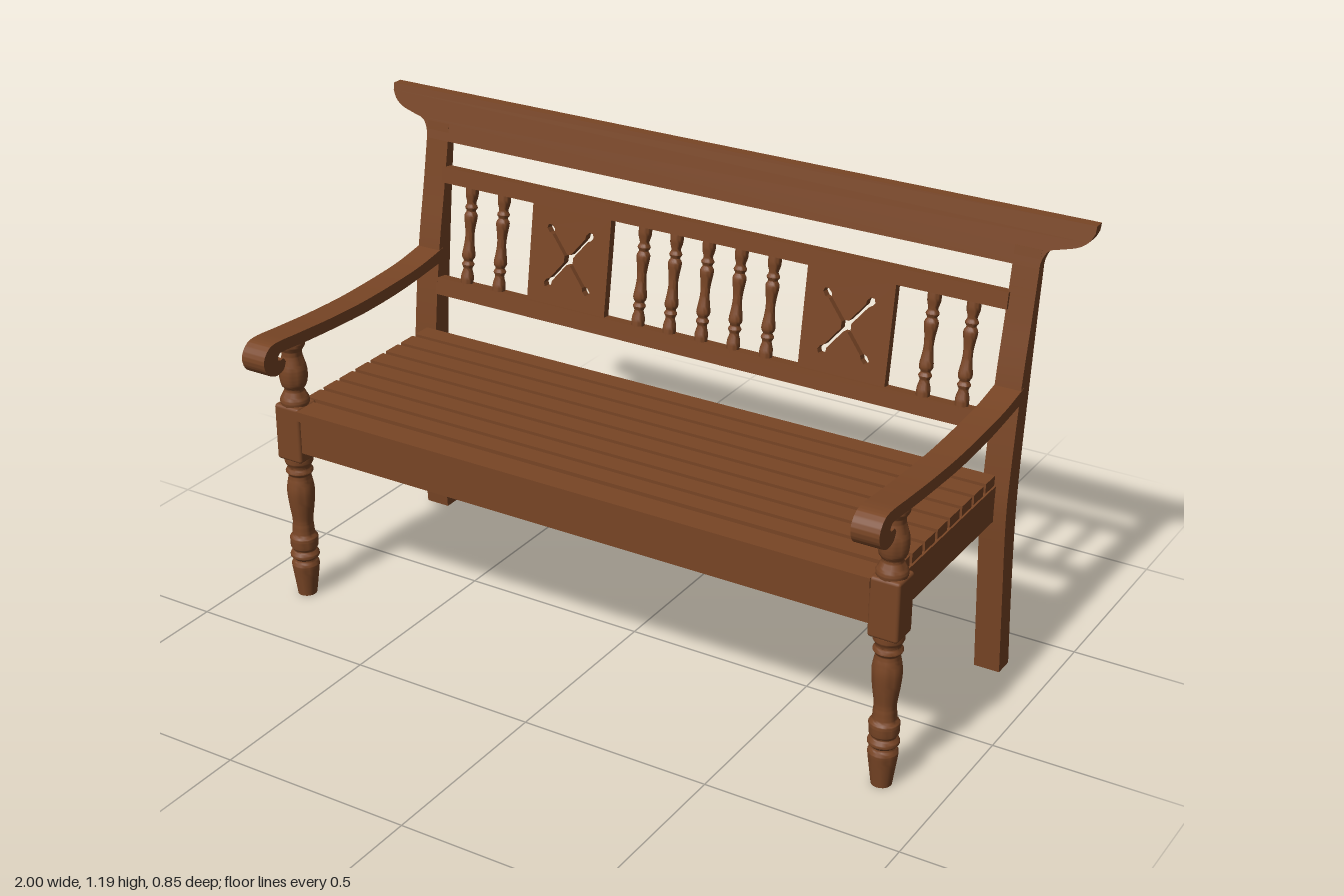
import * as THREE from 'three';
import { toCreasedNormals } from 'three/addons/utils/BufferGeometryUtils.js';
import { RoundedBoxGeometry } from 'three/addons/geometries/RoundedBoxGeometry.js';

const wood = new THREE.MeshStandardMaterial({ color: 0x784525 });
wood.name = 'brown wood';

const points = (list) => list.map(([a, b]) => new THREE.Vector2(a, b));

function add(parent, name, geometry, x = 0, y = 0, z = 0) {
  const mesh = new THREE.Mesh(geometry, wood);
  mesh.name = name;
  mesh.position.set(x, y, z);
  parent.add(mesh);
  return mesh;
}

const box = (parent, name, w, h, d, x, y, z) =>
  add(parent, name, new THREE.BoxGeometry(w, h, d), x, y, z);

// Smoothly turned part; each profile entry is [radius, height]
function turned(profile, steps) {
  const curve = new THREE.SplineCurve(points(profile));
  const ring = curve.getPoints(steps).map((p) => new THREE.Vector2(Math.max(p.x, 0), p.y));
  ring.unshift(new THREE.Vector2(0, ring[0].y));
  ring.push(new THREE.Vector2(0, ring[ring.length - 1].y));
  return toCreasedNormals(new THREE.LatheGeometry(ring, 20), 0.7);
}

// Side outline given as [z, y], extruded across x and centred on it
function sideProfile(shape, width) {
  const g = new THREE.ExtrudeGeometry(shape, { depth: width, bevelEnabled: false, curveSegments: 8 });
  g.rotateY(-Math.PI / 2);
  g.translate(width / 2, 0, 0);
  return toCreasedNormals(g, 0.6);
}

// Raked rear post with a gentle sweep
function rearPost() {
  const s = new THREE.Shape();
  s.moveTo(-0.31, 0);
  s.splineThru(points([[-0.293, 0.23], [-0.28, 0.43], [-0.287, 0.56], [-0.314, 0.77], [-0.349, 0.95], [-0.378, 1.11]]));
  s.lineTo(-0.403, 1.11);
  s.splineThru(points([[-0.383, 0.95], [-0.364, 0.77], [-0.344, 0.56], [-0.34, 0.4], [-0.35, 0.2], [-0.366, 0]]));
  return sideProfile(s, 0.068);
}

// Dipped armrest ending in a downward scroll
function armrest() {
  const s = new THREE.Shape();
  s.moveTo(-0.33, 0.776);
  s.splineThru(points([[-0.2, 0.756], [0, 0.747], [0.15, 0.75], [0.28, 0.758], [0.375, 0.764],
    [0.41, 0.753], [0.426, 0.725], [0.415, 0.693], [0.385, 0.677], [0.355, 0.682], [0.343, 0.702]]));
  s.splineThru(points([[0.352, 0.713], [0.365, 0.712], [0.373, 0.718], [0.368, 0.728], [0.35, 0.732],
    [0.25, 0.724], [0.12, 0.717], [0, 0.714], [-0.15, 0.72], [-0.32, 0.739]]));
  return sideProfile(s, 0.07);
}

// Top rail with flared ears, leaning back with height
function crestRail() {
  const ear = [[0.877, 1.065], [0.882, 1.09], [0.896, 1.111], [0.925, 1.12], [0.962, 1.131], [0.987, 1.148], [0.999, 1.17]];
  const s = new THREE.Shape();
  s.moveTo(-0.877, 1.065);
  s.lineTo(0.877, 1.065);
  s.splineThru(points(ear.slice(1)));
  s.lineTo(1, 1.188);
  s.lineTo(-1, 1.188);
  s.lineTo(-0.999, 1.17);
  s.splineThru(points(ear.slice(0, -1).reverse().map(([x, y]) => [-x, y])));
  const g = new THREE.ExtrudeGeometry(s, { depth: 0.028, bevelEnabled: false, curveSegments: 4 });
  const p = g.attributes.position;
  for (let i = 0; i < p.count; i++) p.setZ(i, p.getZ(i) - 0.397 - (p.getY(i) - 1.065) * 0.22);
  return toCreasedNormals(g, 0.6);
}

// Back panel pierced by a cross with swollen tips
function piercedPanel() {
  const w = 0.12, h = 0.135, d = 0.022;
  const s = new THREE.Shape(points([[-w, -h], [w, -h], [w, h], [-w, h]]));
  const arm = [[0.015, -0.005], [0.08, -0.005], [0.089, -0.01], [0.102, -0.009], [0.108, 0],
    [0.102, 0.009], [0.089, 0.01], [0.08, 0.005], [0.015, 0.005]];
  const cross = [];
  for (const degrees of [51, 129, 231, 309]) {
    const a = degrees * Math.PI / 180, c = Math.cos(a), n = Math.sin(a);
    for (const [r, t] of arm) cross.push([r * c - t * n, r * n + t * c]);
  }
  s.holes.push(new THREE.Path(points(cross)));
  const g = new THREE.ExtrudeGeometry(s, { depth: d, bevelEnabled: false });
  g.translate(0, 0, -d / 2);
  return g;
}

export function createModel() {
  const bench = new THREE.Group();
  bench.name = 'gardenBench';

  const lowerLeg = turned([[0.025, 0], [0.029, 0.03], [0.035, 0.075], [0.036, 0.092], [0.029, 0.104],
    [0.038, 0.114], [0.036, 0.124], [0.03, 0.132], [0.036, 0.142], [0.036, 0.155], [0.037, 0.168],
    [0.03, 0.178], [0.028, 0.2], [0.027, 0.22], [0.033, 0.265], [0.036, 0.305], [0.032, 0.335],
    [0.029, 0.35], [0.036, 0.362], [0.03, 0.375], [0.037, 0.39], [0.036, 0.405]], 88);
  const armPost = turned([[0.036, 0.55], [0.038, 0.565], [0.031, 0.58], [0.025, 0.595], [0.032, 0.606],
    [0.036, 0.625], [0.036, 0.65], [0.031, 0.67], [0.026, 0.69], [0.027, 0.703], [0.034, 0.715], [0.034, 0.73]], 48);
  const legBlock = new RoundedBoxGeometry(0.077, 0.155, 0.077, 2, 0.008);
  const post = rearPost();
  const arm = armrest();

  // Legs, armrests and side aprons
  for (const side of [1, -1]) {
    const end = new THREE.Group();
    end.name = side > 0 ? 'leftEnd' : 'rightEnd';
    const x = side * 0.844;
    add(end, 'frontLeg', lowerLeg, x, 0, 0.277);
    add(end, 'frontLegBlock', legBlock, x, 0.478, 0.277);
    add(end, 'armPost', armPost, x, 0, 0.277);
    add(end, 'rearPost', post, x);
    add(end, 'armrest', arm, x);
    box(end, 'sideApron', 0.04, 0.095, 0.54, side * 0.825, 0.4785, -0.02);
    bench.add(end);
  }

  // Seat frame and slats
  box(bench, 'frontApron', 1.63, 0.095, 0.03, 0, 0.4785, 0.293);
  box(bench, 'rearApron', 1.63, 0.095, 0.03, 0, 0.4785, -0.3);
  box(bench, 'frontSlat', 1.62, 0.026, 0.07, 0, 0.539, 0.284);
  for (let i = 0; i < 8; i++) box(bench, 'seatSlat', 1.68, 0.026, 0.053, 0, 0.539, 0.206 - i * 0.0665);

  // Backrest
  add(bench, 'crestRail', crestRail());
  const back = new THREE.Group();
  back.name = 'backrest';
  back.position.set(0, 0.825, -0.34);
  back.rotation.x = -Math.atan(0.15);
  box(back, 'upperBackRail', 1.63, 0.042, 0.034, 0, 0.153, 0);
  box(back, 'lowerBackRail', 1.63, 0.047, 0.034, 0, -0.153, 0);
  const panel = piercedPanel();
  for (const x of [-0.405, 0.405]) add(back, 'piercedPanel', panel, x);

  const half = [[0.012, 0], [0.014, 0.025], [0.018, 0.055], [0.012, 0.068], [0.017, 0.078], [0.012, 0.09], [0.017, 0.11], [0.017, 0.138]];
  const baluster = turned([...half.slice(1).reverse().map(([r, y]) => [r, -y]), ...half], 42);
  for (const x of [0, 0.094, 0.188, 0.623, 0.726])
    for (const side of x ? [1, -1] : [1]) add(back, 'baluster', baluster, side * x);
  bench.add(back);

  return bench;
}
